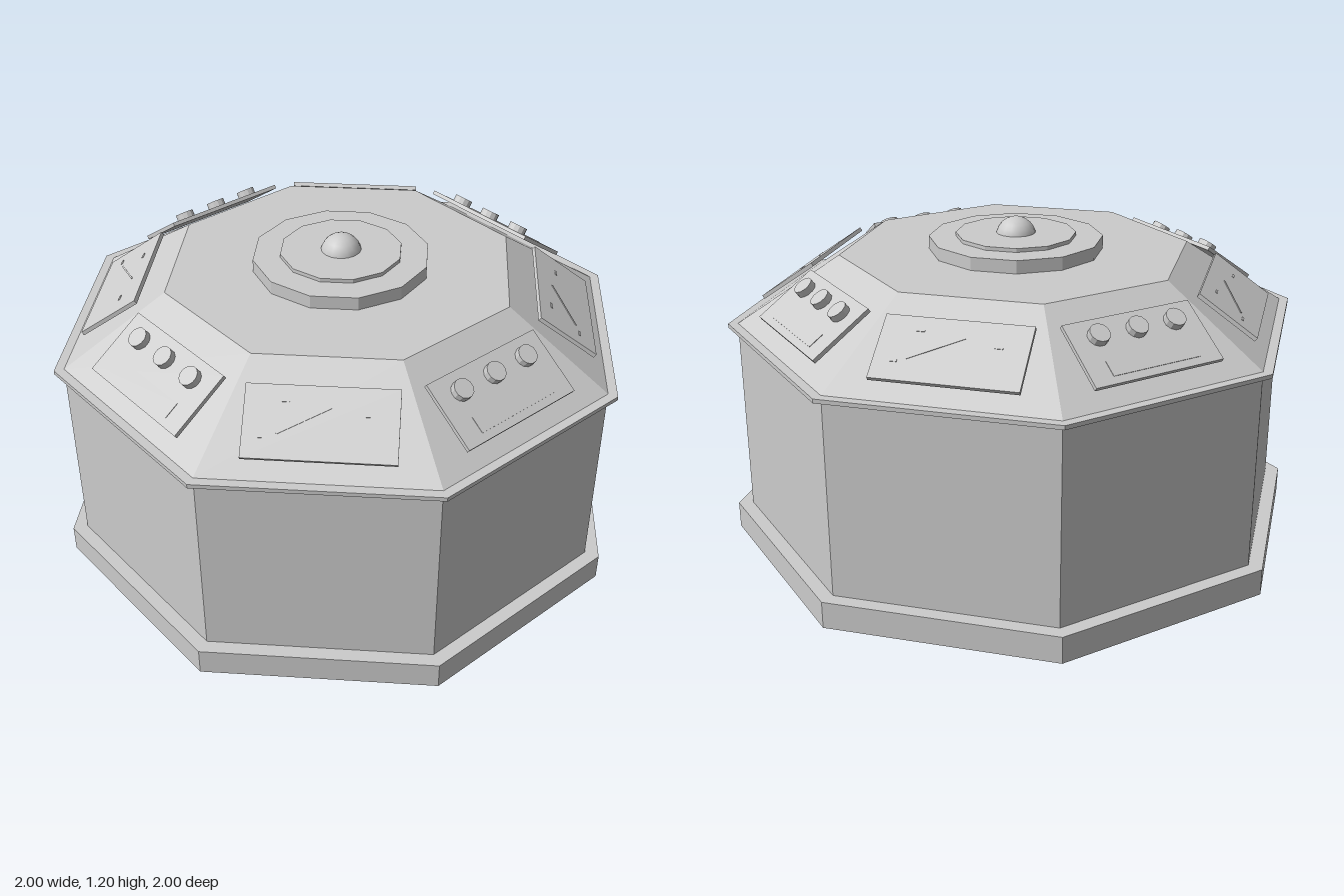
import * as THREE from 'three';

const grey = new THREE.MeshStandardMaterial({ color: 0xcccccc });
grey.name = 'plain grey';

function part(parent, name, geometry, x = 0, y = 0, z = 0) {
  const mesh = new THREE.Mesh(geometry, grey);
  mesh.name = name;
  mesh.position.set(x, y, z);
  parent.add(mesh);
  return mesh;
}

// Faceted prism sized by its apothems, with a flat side facing +z
function prism(sides, bottom, top, height) {
  const k = 1 / Math.cos(Math.PI / sides);
  const g = new THREE.CylinderGeometry(top * k, bottom * k, height, sides, 1, false, Math.PI / sides).toNonIndexed();
  g.computeVertexNormals();
  return g;
}

function stack(parent, name, sides, bottom, top, y0, y1) {
  return part(parent, name, prism(sides, bottom, top, y1 - y0), 0, (y0 + y1) / 2, 0);
}

// Thin marking lying on a panel; u runs across, s runs up the slope
function marking(parent, name, u, s, length, width, angle = 0) {
  part(parent, name, new THREE.BoxGeometry(length, 0.006, width), u, 0.0065, -s).rotation.y = angle;
}

export function createModel() {
  const model = new THREE.Group();
  model.name = 'octagonalConsole';

  // Octagonal cabinet
  stack(model, 'plinth', 8, 1, 1, 0, 0.1);
  stack(model, 'cabinetBody', 8, 0.95, 0.95, 0.1, 0.82);
  stack(model, 'rim', 8, 0.983, 0.983, 0.82, 0.835);
  stack(model, 'slopedDesk', 8, 0.95, 0.6, 0.835, 1.08);

  // Centre piece on the flat top
  stack(model, 'centreDisc', 12, 0.31, 0.31, 1.08, 1.128);
  stack(model, 'centreRing', 12, 0.214, 0.214, 1.128, 1.142);
  part(model, 'dome', new THREE.SphereGeometry(0.075, 16, 12), 0, 1.125, 0);

  // Control panels on the slopes, alternating screens and knob boards
  for (let i = 0; i < 8; i++) {
    const side = new THREE.Group();
    side.name = i % 2 ? 'knobSide' : 'screenSide';
    side.rotation.y = i * Math.PI / 4;
    model.add(side);

    const panel = new THREE.Group();
    panel.name = i % 2 ? 'knobPanel' : 'screenPanel';
    panel.position.set(0, 0.964, 0.809);
    panel.rotation.x = Math.atan2(0.245, 0.35);
    side.add(panel);
    part(panel, 'plate', new THREE.BoxGeometry(0.5, 0.015, 0.25));

    if (i % 2) {
      for (const u of [-0.15, 0, 0.15]) {
        part(panel, 'knob', prism(12, 0.035, 0.035, 0.03), u, 0.018, -0.055);
      }
      marking(panel, 'slot', 0, -0.067, 0.34, 0.06);
    } else {
      marking(panel, 'trace', -0.052, 0.008, 0.2, 0.006, 0.5);
      for (const [u, s] of [[-0.118, 0.07], [-0.182, -0.053], [0.15, 0.03]]) {
        marking(panel, 'blip', u, s, 0.028, 0.008);
      }
    }
  }
  return model;
}
